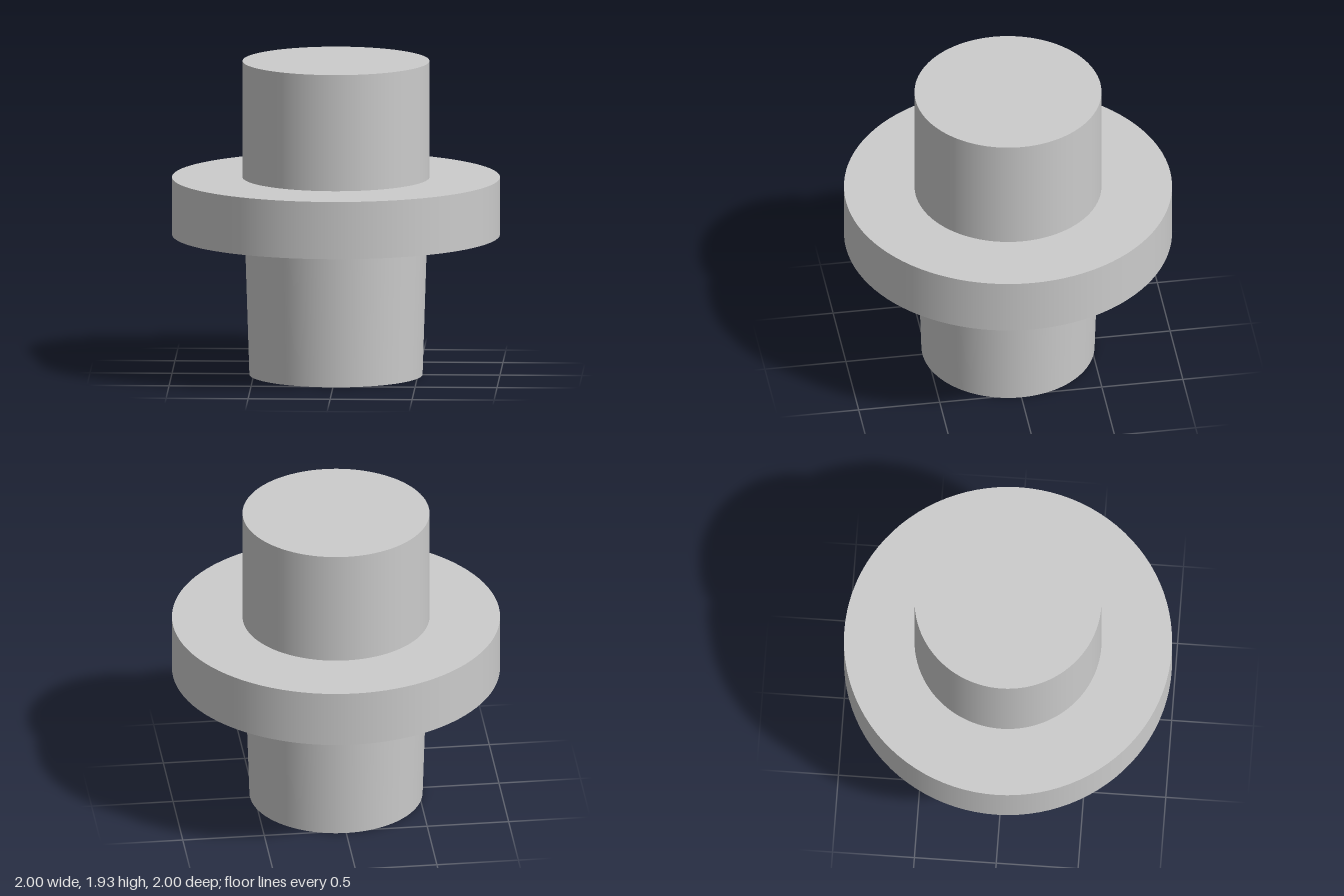
import * as THREE from 'three';

const SEGMENTS = 96;

export function createModel() {
  const model = new THREE.Group();
  const material = new THREE.MeshStandardMaterial({ color: 0xcccccc });

  // Adds a round section between two heights
  function addSection(name, topRadius, bottomRadius, bottom, top) {
    const geometry = new THREE.CylinderGeometry(topRadius, bottomRadius, top - bottom, SEGMENTS);
    const mesh = new THREE.Mesh(geometry, material);
    mesh.name = name;
    mesh.position.y = (bottom + top) / 2;
    model.add(mesh);
  }

  // Tapered plug, wide flange and straight upper boss
  addSection('taperedPlug', 0.556, 0.528, 0, 0.863);
  addSection('flange', 1, 1, 0.863, 1.216);
  addSection('upperBoss', 0.57, 0.57, 1.216, 1.932);

  return model;
}
